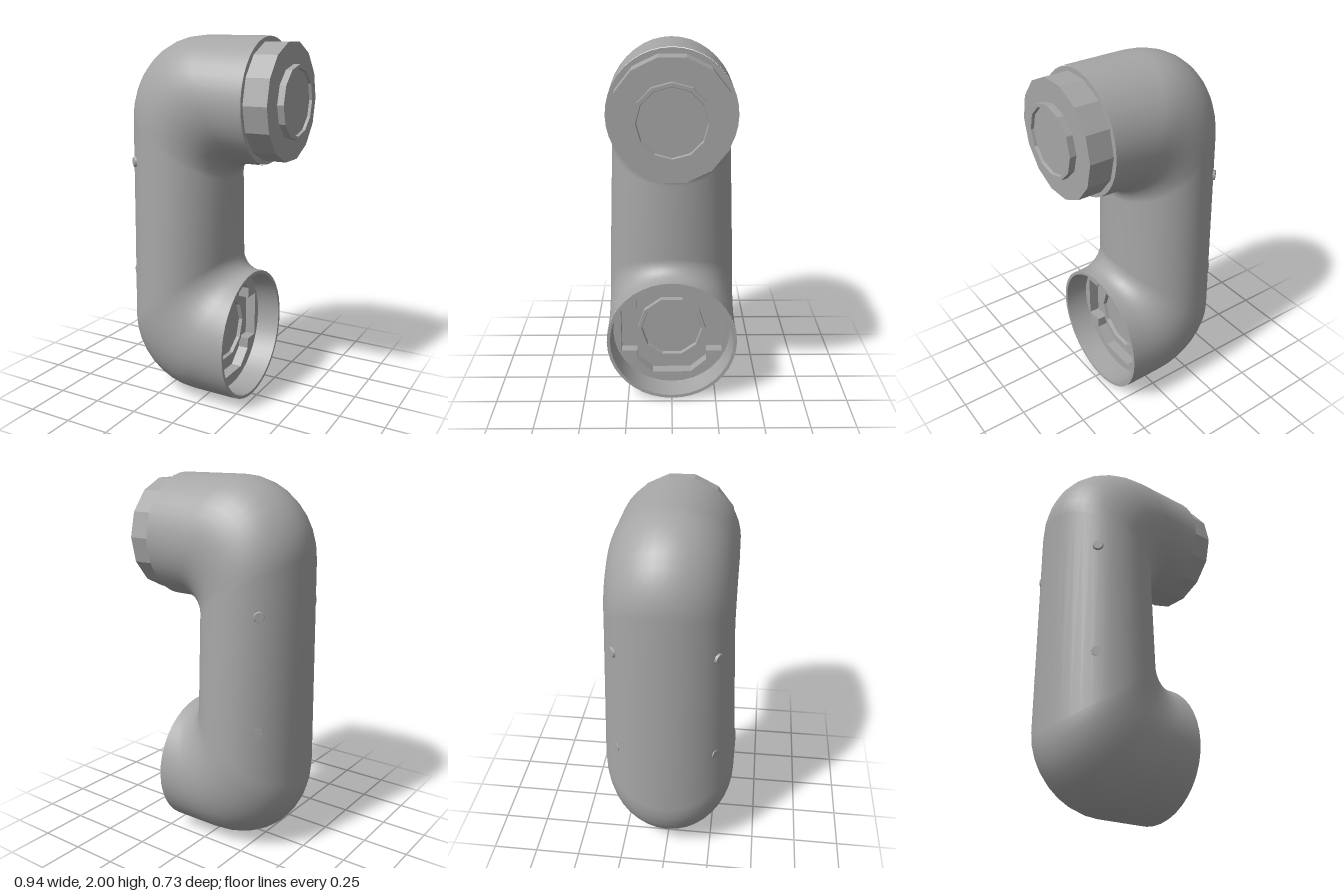
import * as THREE from 'three';
import { toCreasedNormals } from 'three/addons/utils/BufferGeometryUtils.js';

const TOP_Y = 1.67, LOW_Y = 0.37;

export function createModel() {
  const group = new THREE.Group();
  const grey = new THREE.MeshStandardMaterial({ color: 0xa6a6a6 });
  grey.name = 'shell grey';

  const add = (name, geometry, x = 0, y = 0, z = 0) => {
    const mesh = new THREE.Mesh(geometry, grey);
    mesh.name = name;
    mesh.position.set(x, y, z);
    group.add(mesh);
    return mesh;
  };

  // Turned part about the x axis; profile points are [radius, x]
  const turned = (name, profile, sides, y, crease = 0.5) => {
    const g = new THREE.LatheGeometry(profile.map(p => new THREE.Vector2(...p)), sides);
    g.rotateZ(-Math.PI / 2);
    return add(name, toCreasedNormals(g, crease), 0, y);
  };

  // C-shaped shell: oval sections, each set by its outer point, inner point and half width in z
  const sections = [[0.3, 2.0, 0.3, 1.34, 0.325]];
  const steps = 8;
  for (let i = steps; i >= 0; i--) {
    const t = i / steps * Math.PI / 2, c = Math.cos(t), s = Math.sin(t);
    sections.push([-0.07 - 0.4 * c, 1.6 + 0.4 * s, 0.2 - 0.09 * c, 1.25 + 0.09 * s, 0.33]);
  }
  for (let i = 0; i <= steps; i++) {
    const t = i / steps * Math.PI / 2, c = Math.cos(t), s = Math.sin(t);
    sections.push([-0.07 - 0.4 * c, 0.39 - 0.385 * s, 0.2 - 0.09 * c, 0.825 - 0.09 * s, 0.362]);
  }
  sections.push([0.22, 0.005, 0.22, 0.735, 0.364]);

  const sides = 40, pos = [], index = [];
  sections.forEach(([ox, oy, ix, iy, w], i) => {
    for (let j = 0; j < sides; j++) {
      const a = j / sides * Math.PI * 2, c = Math.cos(a);
      pos.push((ox + ix) / 2 + (ox - ix) / 2 * c, (oy + iy) / 2 + (oy - iy) / 2 * c, w * Math.sin(a));
      if (i === sections.length - 1) continue;
      const k = (j + 1) % sides, p = i * sides, q = p + sides;
      index.push(p + j, q + j, p + k, p + k, q + j, q + k);
    }
  });
  const shell = new THREE.BufferGeometry();
  shell.setAttribute('position', new THREE.Float32BufferAttribute(pos, 3));
  shell.setIndex(index);
  shell.computeVertexNormals();
  add('armShell', shell);

  // Upper joint: shoulder face, collar and recessed cap
  turned('upperShoulder', [[0.326, 0.29], [0.326, 0.301], [0, 0.301]], 40, TOP_Y);
  turned('upperCollar', [[0.305, 0.29], [0.305, 0.43], [0, 0.43]], 14, TOP_Y, 0.4);
  turned('upperCap', [[0.19, 0.42], [0.19, 0.465], [0.172, 0.465], [0.168, 0.45], [0, 0.45]], 12, TOP_Y, 0.4);

  // Lower joint: open cup with a rim and floor
  turned('lowerCup', [[0.363, 0.215], [0.363, 0.221], [0.345, 0.221], [0.335, 0.03], [0, 0.03]], 40, LOW_Y);

  // Flange with a notched opening inside the cup
  const flange = new THREE.Shape().absarc(0, 0, 0.335, 0, Math.PI * 2);
  const quarter = [[0.29, 0.13], [0.2, 0.13], [0.2, 0.19], [0.11, 0.27]];
  const mirrored = quarter.map(([x, y]) => [-x, y]).reverse();
  const half = [...quarter, ...mirrored];
  const outline = [...half, ...half.map(([x, y]) => [-x, -y])];
  flange.holes.push(new THREE.Path(outline.map(p => new THREE.Vector2(...p))));
  const flangeGeo = new THREE.ExtrudeGeometry(flange, { depth: 0.06, bevelEnabled: false, curveSegments: 16 });
  flangeGeo.rotateY(Math.PI / 2);
  add('lowerFlange', flangeGeo, 0.03, LOW_Y);

  // Hub ring in the centre of the cup
  turned('lowerHub', [[0.195, 0.03], [0.195, 0.065], [0.175, 0.065], [0.17, 0.045], [0, 0.045]], 10, LOW_Y, 0.4);

  // Small screw plugs on both flanks
  for (const y of [1.34, 0.735]) {
    for (const side of [1, -1]) {
      const plug = add('screwPlug', new THREE.CylinderGeometry(0.026, 0.03, 0.012, 8), -0.365, y, side * 0.266);
      const normal = new THREE.Vector3(-0.66, 0, side * 0.75).normalize();
      plug.quaternion.setFromUnitVectors(new THREE.Vector3(0, 1, 0), normal);
    }
  }

  return group;
}
